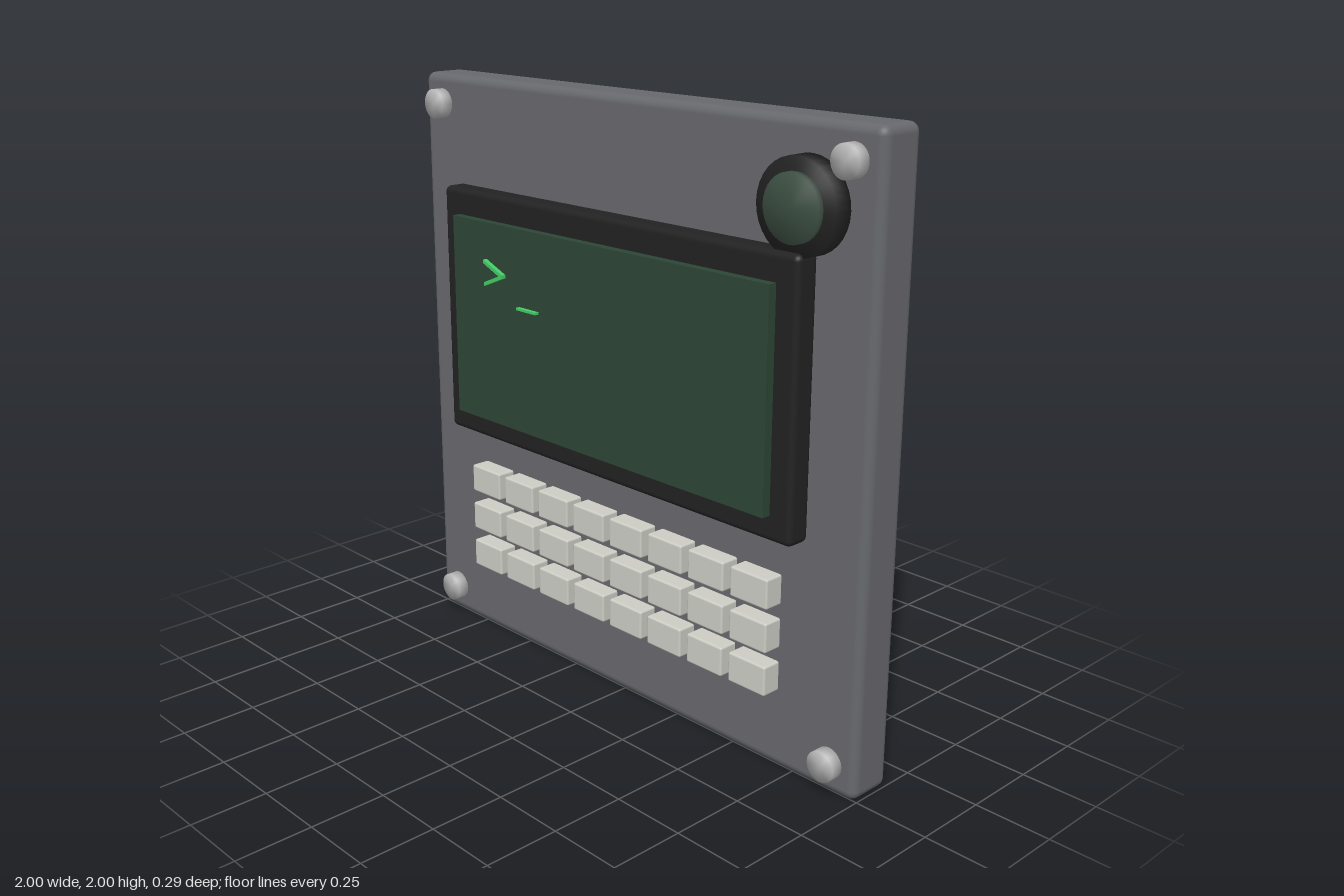
import * as THREE from 'three';
import { RoundedBoxGeometry } from 'three/addons/geometries/RoundedBoxGeometry.js';
import { mergeVertices } from 'three/addons/utils/BufferGeometryUtils.js';

const material = (color) => new THREE.MeshStandardMaterial({ color });
const MAT = {
  panel: material(0x67686d),
  black: material(0x222222),
  screen: material(0x2d4636),
  lens: material(0x3c4f42),
  key: material(0xcccdc4),
  bolt: material(0xb4b4b4),
  glow: material(0x44cc66),
};
const FACE = 0.015; // z of the panel's front surface

export function createModel() {
  const model = new THREE.Group();

  const add = (name, geometry, mat, x, y, z, parent = model) => {
    const mesh = new THREE.Mesh(geometry, mat);
    mesh.name = name;
    mesh.position.set(x, y, z);
    parent.add(mesh);
    return mesh;
  };
  const group = (name) => {
    const g = new THREE.Group();
    g.name = name;
    model.add(g);
    return g;
  };
  // Disc facing +z; soft discs share normals over the rim for a domed sheen
  const disc = (radius, depth, soft) => {
    let g = new THREE.CylinderGeometry(radius, radius, depth, 32).rotateX(Math.PI / 2);
    if (soft) {
      g.deleteAttribute('normal');
      g.deleteAttribute('uv');
      g = mergeVertices(g);
      g.computeVertexNormals();
    }
    return g;
  };

  // Back panel
  add('panel', new RoundedBoxGeometry(2, 2, 0.16, 3, 0.03), MAT.panel, 0, 1, -0.065);

  // Screen and its frame
  add('screenFrame', new RoundedBoxGeometry(1.59, 0.86, 0.085, 3, 0.02), MAT.black, -0.003, 1.208, 0.0575);
  add('screen', new THREE.BoxGeometry(1.425, 0.69, 0.04), MAT.screen, 0, 1.205, 0.11);

  // Glowing arrow and cursor bar on the screen
  const arrow = new THREE.Shape([
    [-0.048, 0.045], [0.048, 0.006], [0.048, -0.006], [-0.048, -0.045],
    [-0.048, -0.032], [0.03, 0], [-0.048, 0.032],
  ].map(([x, y]) => new THREE.Vector2(x, y)));
  add('arrow', new THREE.ExtrudeGeometry(arrow, { depth: 0.02, bevelEnabled: false }), MAT.glow, -0.488, 1.382, 0.125);
  add('cursorBar', new THREE.BoxGeometry(0.096, 0.008, 0.02), MAT.glow, -0.322, 1.288, 0.135);

  // Round sensor at the upper corner
  const sensor = group('sensor');
  add('sensorHousing', disc(0.142, 0.065, true), MAT.black, 0.754, 1.762, FACE + 0.0325, sensor);
  add('sensorLens', disc(0.1, 0.04, true), MAT.lens, 0.754, 1.762, 0.08, sensor);

  // Three rows of eight keys
  const keys = group('keys');
  const keyGeometry = new RoundedBoxGeometry(0.15, 0.098, 0.07, 2, 0.007);
  for (const y of [0.595, 0.452, 0.309]) {
    for (let i = 0; i < 8; i++) {
      add('key', keyGeometry, MAT.key, -0.638 + i * 0.1795, y, 0.045, keys);
    }
  }

  // Corner bolts
  const bolts = group('bolts');
  const boltGeometry = disc(0.05, 0.045, true);
  for (const x of [-0.9, 0.9]) {
    for (const y of [0.1, 1.9]) add('bolt', boltGeometry, MAT.bolt, x, y, 0.0335, bolts);
  }

  return model;
}
